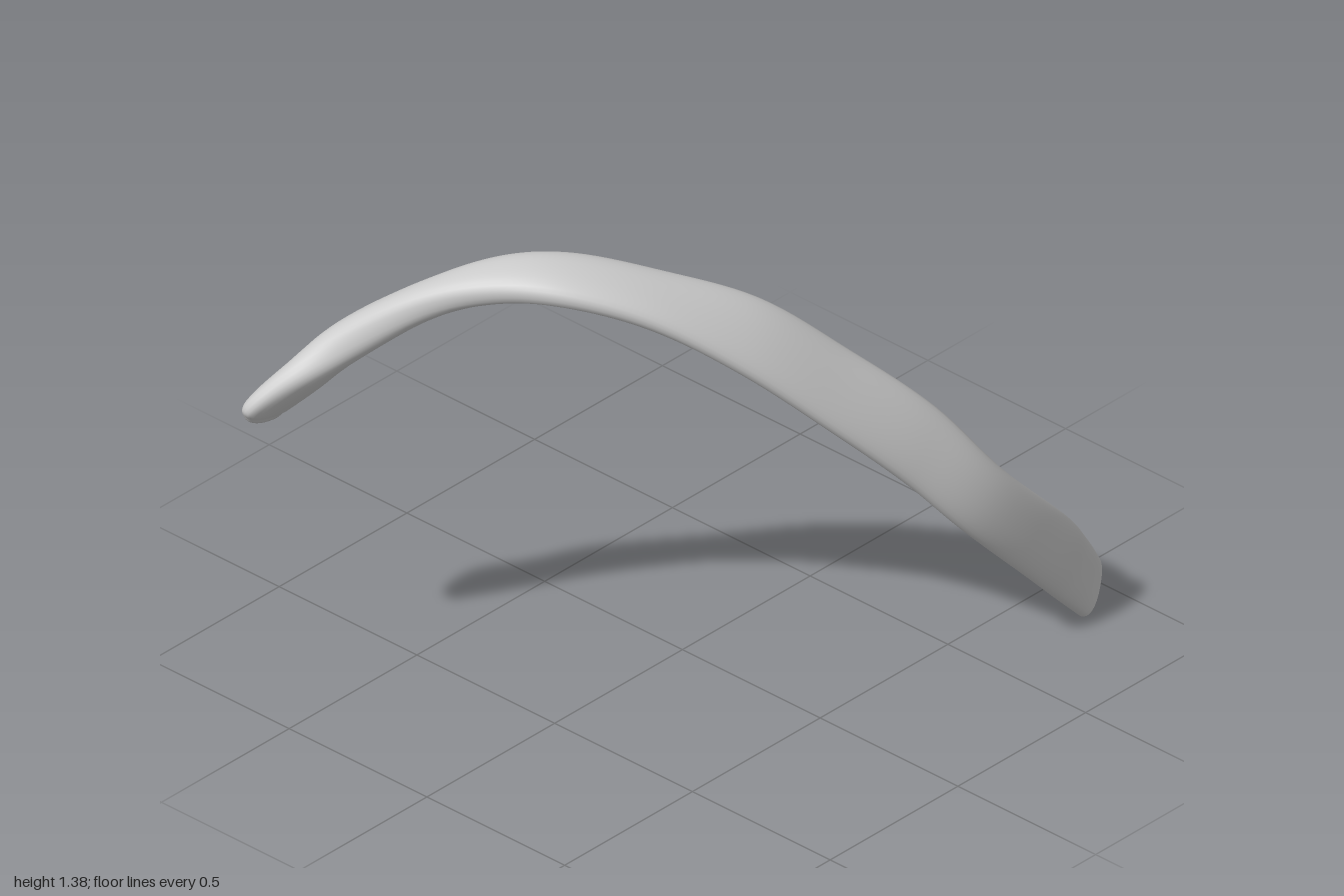
import * as THREE from 'three';

// Stations along the bone: centre xyz, full width vector xyz, thickness
const STATIONS = [
  [0.622, 0.05, -0.92, -0.10, 0.08, -0.15, 0.065],
  [0.652, 0.17, -0.815, -0.05, 0.11, -0.15, 0.072],
  [0.667, 0.30, -0.70, -0.015, 0.13, -0.15, 0.078],
  [0.648, 0.54, -0.475, -0.01, 0.13, -0.15, 0.078],
  [0.562, 0.75, -0.32, -0.05, 0.15, -0.16, 0.078],
  [0.440, 0.95, -0.14, -0.09, 0.14, -0.165, 0.075],
  [0.293, 1.145, 0.05, -0.11, 0.12, -0.165, 0.080],
  [0.120, 1.277, 0.245, -0.13, 0.06, -0.14, 0.082],
  [-0.05, 1.337, 0.40, -0.13, 0.03, -0.14, 0.088],
  [-0.20, 1.325, 0.515, -0.09, 0.02, -0.12, 0.095],
  [-0.35, 1.25, 0.630, -0.05, 0.0, -0.10, 0.100],
  [-0.515, 1.11, 0.748, -0.03, -0.02, -0.12, 0.115],
  [-0.602, 1.00, 0.835, -0.01, -0.05, -0.17, 0.095],
  [-0.672, 0.91, 0.887, -0.02, -0.06, -0.205, 0.075],
  [-0.690, 0.872, 0.898, -0.015, -0.04, -0.15, 0.055],
];
const RINGS = 112, SIDES = 28;

function boneGeometry() {
  const pick = (f) => new THREE.CatmullRomCurve3(STATIONS.map(f), false, 'catmullrom', 0.5);
  const centre = pick((s) => new THREE.Vector3(s[0], s[1], s[2]));
  const width = pick((s) => new THREE.Vector3(s[3], s[4], s[5]));
  const thick = pick((s) => new THREE.Vector3(s[6], 0, 0));
  const round = (v) => Math.sign(v) * Math.pow(Math.abs(v), 0.85);
  const pos = [], idx = [];

  // Swept flattened-oval cross-sections
  for (let i = 0; i <= RINGS; i++) {
    const t = i / RINGS;
    const c = centre.getPoint(t), w = width.getPoint(t);
    const n = centre.getTangent(t).cross(w).setLength(thick.getPoint(t).x / 2);
    for (let j = 0; j < SIDES; j++) {
      const a = (j / SIDES) * Math.PI * 2;
      const p = c.clone().addScaledVector(w, round(Math.cos(a)) / 2).addScaledVector(n, round(Math.sin(a)));
      pos.push(p.x, p.y, p.z);
    }
  }
  for (let i = 0; i < RINGS; i++) {
    for (let j = 0; j < SIDES; j++) {
      const a = i * SIDES + j, b = i * SIDES + (j + 1) % SIDES;
      idx.push(a, b, a + SIDES, b, b + SIDES, a + SIDES);
    }
  }

  // Rounded tip: shares its ring so the shading stays smooth
  const last = RINGS * SIDES, tip = pos.length / 3;
  const e = centre.getPoint(1).addScaledVector(centre.getTangent(1), 0.02);
  pos.push(e.x, e.y, e.z);
  for (let j = 0; j < SIDES; j++) idx.push(tip, last + j, last + (j + 1) % SIDES);

  // Cut end: own ring for a crisp edge, slightly hollow
  const cut = pos.length / 3;
  pos.push(...pos.slice(0, SIDES * 3));
  const s = centre.getPoint(0).addScaledVector(centre.getTangent(0), 0.008);
  pos.push(s.x, s.y, s.z);
  for (let j = 0; j < SIDES; j++) idx.push(cut + SIDES, cut + (j + 1) % SIDES, cut + j);

  const g = new THREE.BufferGeometry();
  g.setAttribute('position', new THREE.Float32BufferAttribute(pos, 3));
  g.setIndex(idx);
  g.computeVertexNormals();
  return g;
}

export function createModel() {
  const group = new THREE.Group();
  group.name = 'rib';
  const bone = new THREE.Mesh(boneGeometry(), new THREE.MeshStandardMaterial({ color: 0xcccccc }));
  bone.name = 'ribBone';
  group.add(bone);
  return group;
}
